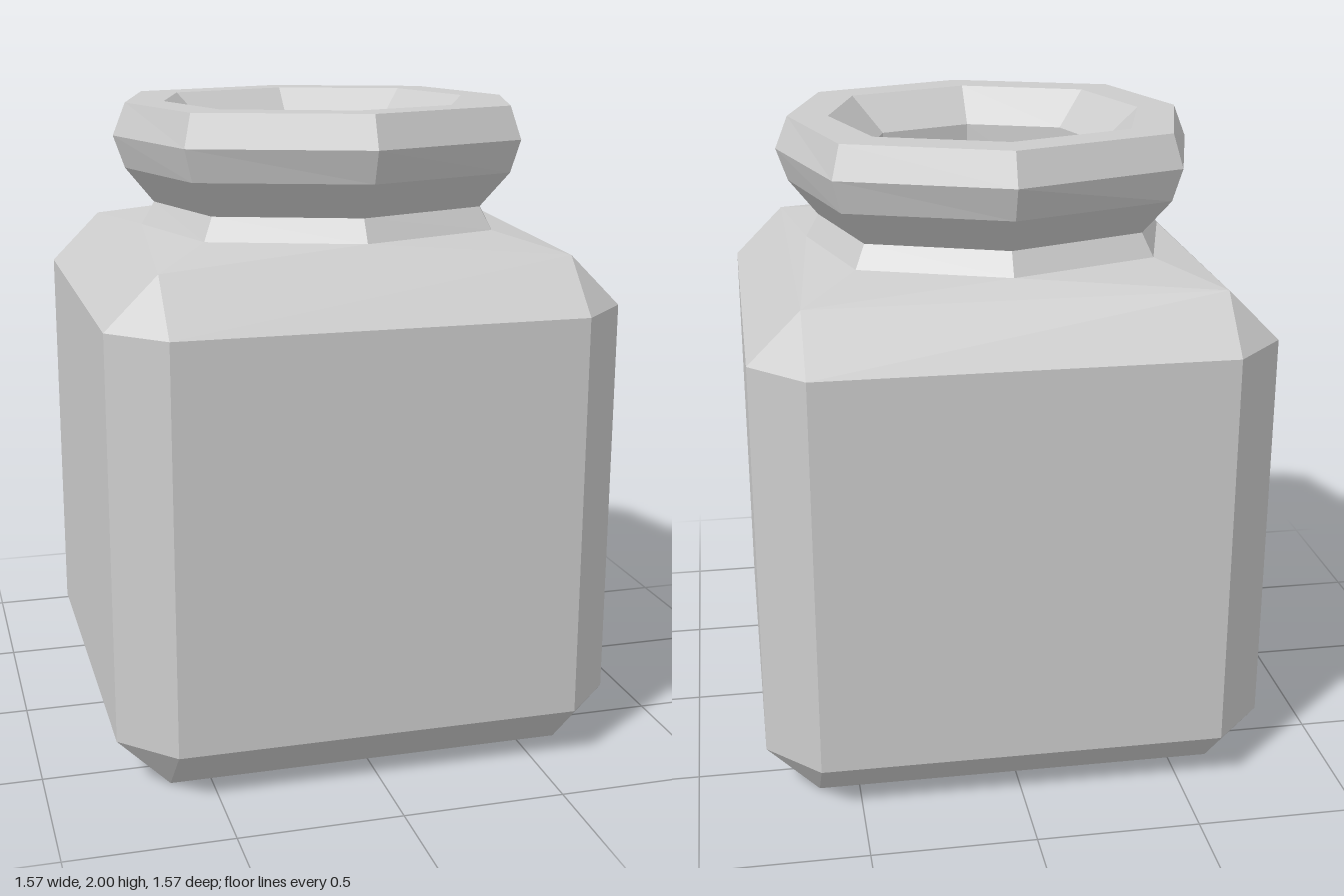
import * as THREE from 'three';
import { ConvexGeometry } from 'three/addons/geometries/ConvexGeometry.js';

// Eight-sided neck ring: r = reach along the axes, dx / dz = diagonal corners,
// skew = slight hand-made shift of the axis corners.
function ring(y, r, dx, dz, skew = 0) {
  return [
    [r, skew * 2], [dx, dz], [skew, r], [-dx, dz],
    [-r, skew * 2], [-dx, -dz], [skew, -r], [dx, -dz],
  ].map(([x, z]) => new THREE.Vector3(x, y, z));
}

// Joins consecutive rings with quads and closes the last ring with a fan
function loft(rings) {
  const points = [];
  const n = rings[0].length;
  for (let k = 0; k < rings.length - 1; k++) {
    for (let i = 0; i < n; i++) {
      const j = (i + 1) % n;
      const a = rings[k][i], b = rings[k][j], c = rings[k + 1][j], d = rings[k + 1][i];
      points.push(a, d, c, a, c, b);
    }
  }
  const last = rings[rings.length - 1];
  const centre = new THREE.Vector3(0, last[0].y, 0);
  for (let i = 0; i < n; i++) points.push(last[i], centre, last[(i + 1) % n]);
  const geometry = new THREE.BufferGeometry().setFromPoints(points);
  geometry.computeVertexNormals();
  return geometry;
}

export function createModel() {
  const group = new THREE.Group();
  group.name = 'jar';
  const glaze = new THREE.MeshStandardMaterial({ color: 0xcccccc, flatShading: true });
  glaze.name = 'light grey';

  // Neck base, shared by the shoulder and the neck
  const neckBase = ring(1.62, 0.57, 0.45, 0.41, 0.005);

  // Bevelled square body with a sloping shoulder
  const outer = 0.785, inner = 0.625;
  const bodyPoints = [...neckBase];
  for (const sx of [-1, 1]) {
    for (const sz of [-1, 1]) {
      for (const y of [0, 1.57]) bodyPoints.push(new THREE.Vector3(sx * inner, y, sz * inner));
      for (const y of [0.158, 1.41]) {
        bodyPoints.push(new THREE.Vector3(sx * outer, y, sz * inner));
        bodyPoints.push(new THREE.Vector3(sx * inner, y, sz * outer));
      }
    }
  }
  const body = new THREE.Mesh(new ConvexGeometry(bodyPoints), glaze);
  body.name = 'body';
  group.add(body);

  // Pinched neck, flared rim, then down the inside to the floor of the mouth
  const neck = new THREE.Mesh(loft([
    neckBase,
    ring(1.69, 0.53, 0.42, 0.38, 0.005),
    ring(1.8, 0.62, 0.49, 0.45, 0.01),
    ring(1.9, 0.655, 0.515, 0.47, 0.01),
    ring(2, 0.615, 0.49, 0.44, 0.01),
    ring(2, 0.49, 0.385, 0.35),
    ring(1.89, 0.375, 0.295, 0.268),
    ring(1.68, 0.375, 0.295, 0.268),
  ]), glaze);
  neck.name = 'neck';
  group.add(neck);

  return group;
}
